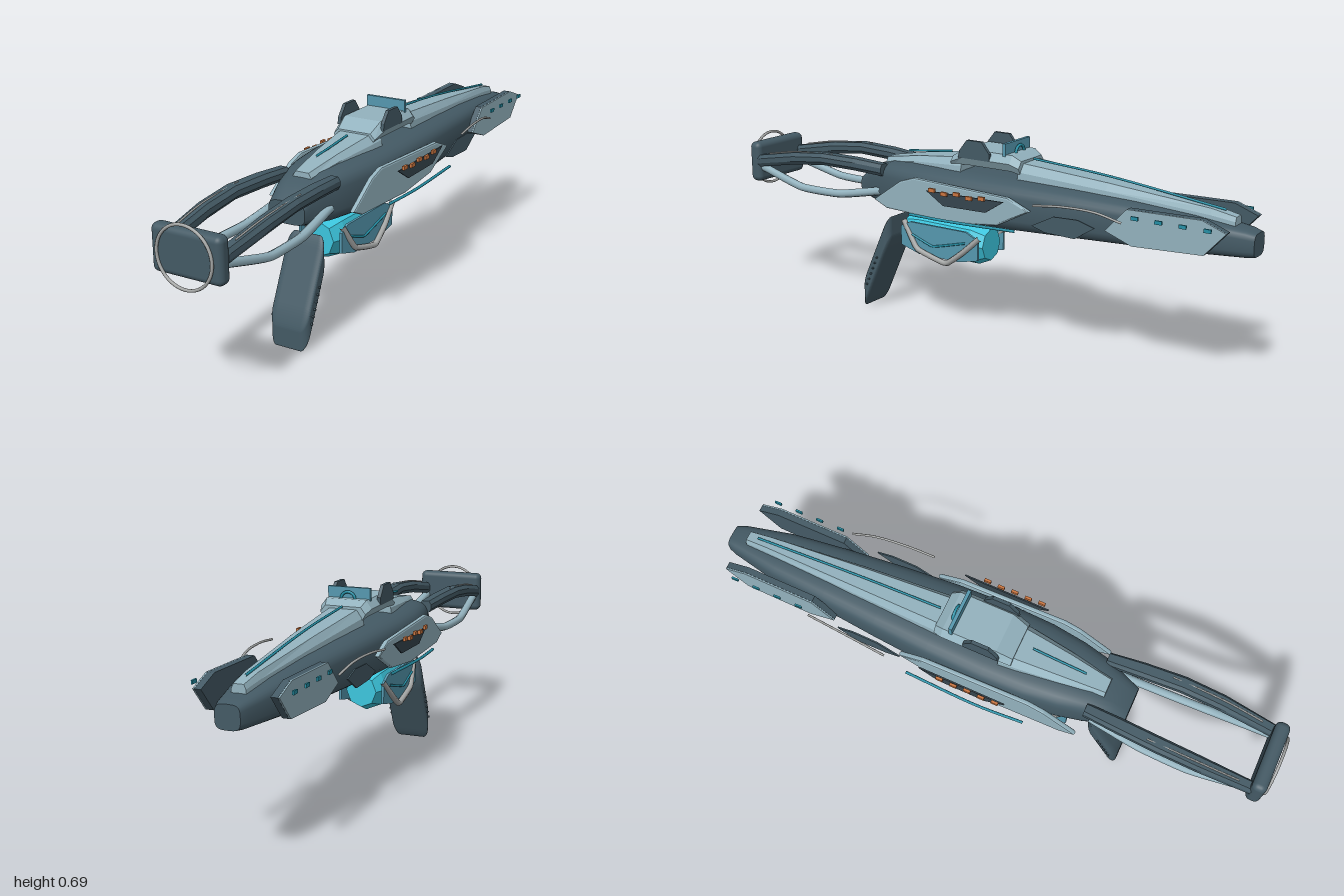
import * as THREE from 'three';
import { RoundedBoxGeometry } from 'three/addons/geometries/RoundedBoxGeometry.js';

const paint = (name, color) => {
  const m = new THREE.MeshStandardMaterial({ color });
  m.name = name;
  return m;
};

// cross-section outlines: u spans the half width, v runs from bottom (0) to top (1)
const roundRing = (n, p) => Array.from({ length: n }, (_, i) => {
  const a = (i / n) * Math.PI * 2, c = Math.cos(a), s = Math.sin(a);
  return [Math.sign(c) * Math.abs(c) ** p, 0.5 + 0.5 * Math.sign(s) * Math.abs(s) ** p];
});
const octagon = [[1, .3], [1, .7], [.6, 1], [-.6, 1], [-1, .7], [-1, .3], [-.6, 0], [.6, 0]];
const ridge = [[1, 0], [.95, .55], [.68, 1], [-.68, 1], [-.95, .55], [-1, 0]];
const hexagon = [[1, .5], [.78, 1], [-.78, 1], [-1, .5], [-.84, 0], [.84, 0]];

// joins sections [z, halfWidth, yBottom, yTop, xCentre] given in rising z
function loft(ring, sections, flat) {
  const n = ring.length, pos = [], idx = [];
  const addRing = ([z, w, y0, y1, cx = 0]) =>
    ring.forEach(([u, v]) => pos.push(cx + u * w, y0 + v * (y1 - y0), z));
  sections.forEach(addRing);
  for (let i = 0; i < sections.length - 1; i++) {
    for (let j = 0; j < n; j++) {
      const a = i * n + j, b = i * n + (j + 1) % n;
      idx.push(a, b, a + n, b, b + n, a + n);
    }
  }
  const first = sections.length * n;
  addRing(sections[0]);
  addRing(sections[sections.length - 1]);
  for (let j = 1; j < n - 1; j++) {
    idx.push(first, first + j + 1, first + j);
    idx.push(first + n, first + n + j, first + n + j + 1);
  }
  let g = new THREE.BufferGeometry();
  g.setAttribute('position', new THREE.Float32BufferAttribute(pos, 3));
  g.setIndex(idx);
  if (flat) g = g.toNonIndexed();
  g.computeVertexNormals();
  return g;
}

// upright plate with a [z, y] outline, centred on x
function plate(points, x, thick, bevel = 0) {
  const shape = new THREE.Shape(points.map(([z, y]) => new THREE.Vector2(-z, y)));
  const g = new THREE.ExtrudeGeometry(shape, {
    depth: thick - 2 * bevel, bevelEnabled: bevel > 0, bevelSize: bevel,
    bevelThickness: bevel, bevelOffset: -bevel, bevelSegments: 2,
  });
  g.translate(0, 0, -(thick - 2 * bevel) / 2);
  return g.rotateY(Math.PI / 2).translate(x, 0, 0);
}

const tube = (points, r, tension = 0.5) => new THREE.TubeGeometry(
  new THREE.CatmullRomCurve3(points.map(p => new THREE.Vector3(...p)), false, 'catmullrom', tension), 32, r, 8);
const box = (w, h, d, x, y, z) => new THREE.BoxGeometry(w, h, d).translate(x, y, z);

export function createModel() {
  const root = new THREE.Group();
  const dark = paint('darkSlate', 0x445a65);
  const deep = paint('deepSlate', 0x36454e);
  const light = paint('paleSteel', 0x93b2be);
  const grey = paint('grey', 0xa3a5a4);
  const teal = paint('teal', 0x2590a6);
  const blue = paint('dustyBlue', 0x5598af);
  const cyan = paint('cyan', 0x3cc6de);
  const orange = paint('orange', 0xcc7640);
  const add = (name, geo, mat) => {
    const m = new THREE.Mesh(geo, mat);
    m.name = name;
    root.add(m);
    return m;
  };

  // main hull
  add('hull', loft(roundRing(28, 0.55), [
    [-1, .04, .447, .522], [-.97, .05, .443, .53], [-.8, .085, .435, .553], [-.6, .107, .427, .57],
    [-.4, .126, .42, .58], [-.2, .141, .413, .587], [0, .148, .408, .588], [.15, .143, .407, .586],
    [.27, .127, .408, .582], [.36, .107, .412, .574], [.44, .078, .42, .55], [.49, .068, .435, .51],
  ]), dark);

  // top covers and raised sight base
  add('rearCover', loft(ridge, [
    [.04, .085, .57, .632], [.1, .08, .57, .624], [.25, .06, .565, .606], [.4, .036, .545, .58]], true), light);
  add('foreCover', loft(ridge, [
    [-.93, .024, .53, .562], [-.85, .03, .535, .578], [-.5, .054, .56, .612], [-.18, .072, .575, .637]], true), light);
  add('sightBase', loft(hexagon, [
    [-.19, .08, .6, .645], [-.16, .09, .61, .663], [.03, .09, .61, .663], [.085, .08, .595, .632]], true), light);
  add('rearLightStrip', tube([[0, .609, .32], [0, .618, .23], [0, .63, .13]], .004), teal);
  add('foreLightStrip', tube([[0, .645, -.2], [0, .623, -.5], [0, .576, -.89]], .004), teal);

  // sight
  add('sightPlate', box(.15, .055, .012, 0, .672, -.13), blue);
  const ring = add('sightRing', new THREE.TorusGeometry(.025, .005, 8, 24, Math.PI), teal);
  ring.position.set(0, .66, -.145);

  // shoulder plate and ring
  add('buttPlate', new RoundedBoxGeometry(.25, .15, .05, 4, .02).translate(0, .505, .965), dark);
  add('buttRing', new THREE.TorusGeometry(.098, .005, 10, 56).translate(0, .5, .994), grey);

  // grip: rounded block sheared along its length
  const grip = new RoundedBoxGeometry(.148, .11, .13, 6, .024);
  const gp = grip.attributes.position;
  for (let i = 0; i < gp.count; i++) {
    const z = gp.getZ(i);
    gp.setY(i, gp.getY(i) + .187 - z * 2.2);
    gp.setX(i, gp.getX(i) * (1 - 15 * z * z));
    gp.setZ(i, z + .435);
  }
  grip.computeVertexNormals();
  add('grip', grip, dark);
  for (let i = 0; i < 6; i++) {
    add('gripRib', new THREE.CylinderGeometry(.0035, .0035, .158, 8).rotateZ(Math.PI / 2)
      .translate(0, .1 + i * .022, .472 - i * .0098), dark);
  }

  // power cell under the hull
  add('powerCell', loft(roundRing(8, 1), [
    [-.03, .055, .262, .375], [.02, .075, .24, .398], [.25, .075, .24, .4], [.31, .058, .262, .385]], true), cyan);

  for (const s of [1, -1]) {
    // sight fins
    add('sightFin', plate([[.045, .635], [.04, .66], [.01, .698], [-.05, .698], [-.08, .66], [-.08, .635]],
      s * .084, .012), dark);

    // stock arms with inlay, and lower struts
    add('stockArm', loft(octagon, [
      [.36, .022, .53, .572, s * .096], [.48, .026, .537, .58, s * .104], [.62, .027, .54, .582, s * .112],
      [.76, .026, .523, .568, s * .112], [.95, .02, .488, .532, s * .104]], true), dark);
    add('stockInlay', tube([[s * .115, .581, .58], [s * .114, .568, .76], [s * .108, .543, .9]], .003), grey);
    add('stockStrut', tube([[s * .09, .47, .38], [s * .105, .437, .56], [s * .11, .437, .74],
      [s * .1, .48, .92], [s * .098, .485, .95]], .015, .25), light);

    // middle side panel with vent and lamps
    add('sidePanel', plate([[.355, .46], [.24, .54], [.18, .56], [-.2, .545], [-.285, .51], [-.16, .445],
      [.02, .425], [.3, .435]], s * .155, .018, .006), light);
    add('vent', plate([[.11, .53], [.04, .487], [-.13, .49], [-.2, .535]], s * .183, .005), deep);
    [.08, .03, -.02, -.07, -.12].forEach((z, i) =>
      add('ventLamp', box(.009, .013, .024, s * .193, .537 - (i % 2) * .006, z), orange));
    add('sideLightRod', tube([[s * .187, .437, .18], [s * .197, .441, 0], [s * .19, .447, -.25]], .005), teal);

    // diamond panel and curved guard wire
    add('diamondPanel', plate([[-.29, .465], [-.37, .507], [-.46, .51], [-.52, .492], [-.45, .447], [-.34, .45]],
      s * .153, .005), dark);
    add('guardWire', tube([[s * .196, .545, -.32], [s * .19, .555, -.42], [s * .18, .552, -.53],
      [s * .166, .528, -.62]], .004), grey);

    // nose panels: dark backing, pale outer skin, marker lamps
    const nose = [[-.545, .485], [-.62, .565], [-.87, .57], [-.95, .54], [-.88, .462], [-.64, .45]];
    add('noseBacking', plate(nose, s * .118, .022), dark);
    add('noseSkin', plate(nose, s * .132, .005), light);
    [-.66, -.74, -.82, -.9].forEach(z => add('noseLamp', box(.006, .012, .024, s * .157, .547, z), teal));

    // power cell side shield and guard rail
    add('cellShield', plate([[.3, .355], [.26, .374], [.02, .374], [-.03, .35], [-.03, .28], [.05, .262],
      [.22, .262], [.3, .285]], s * .079, .009), blue);
    add('cellTrim', tube([[s * .085, .33, .25], [s * .085, .3, .16], [s * .085, .335, .02]], .004, .1), teal);
    add('cellRail', tube([[s * .078, .375, .29], [s * .089, .282, .225], [s * .091, .25, .1],
      [s * .089, .3, .03], [s * .08, .36, -.035]], .01, .15), grey);
  }
  return root;
}
